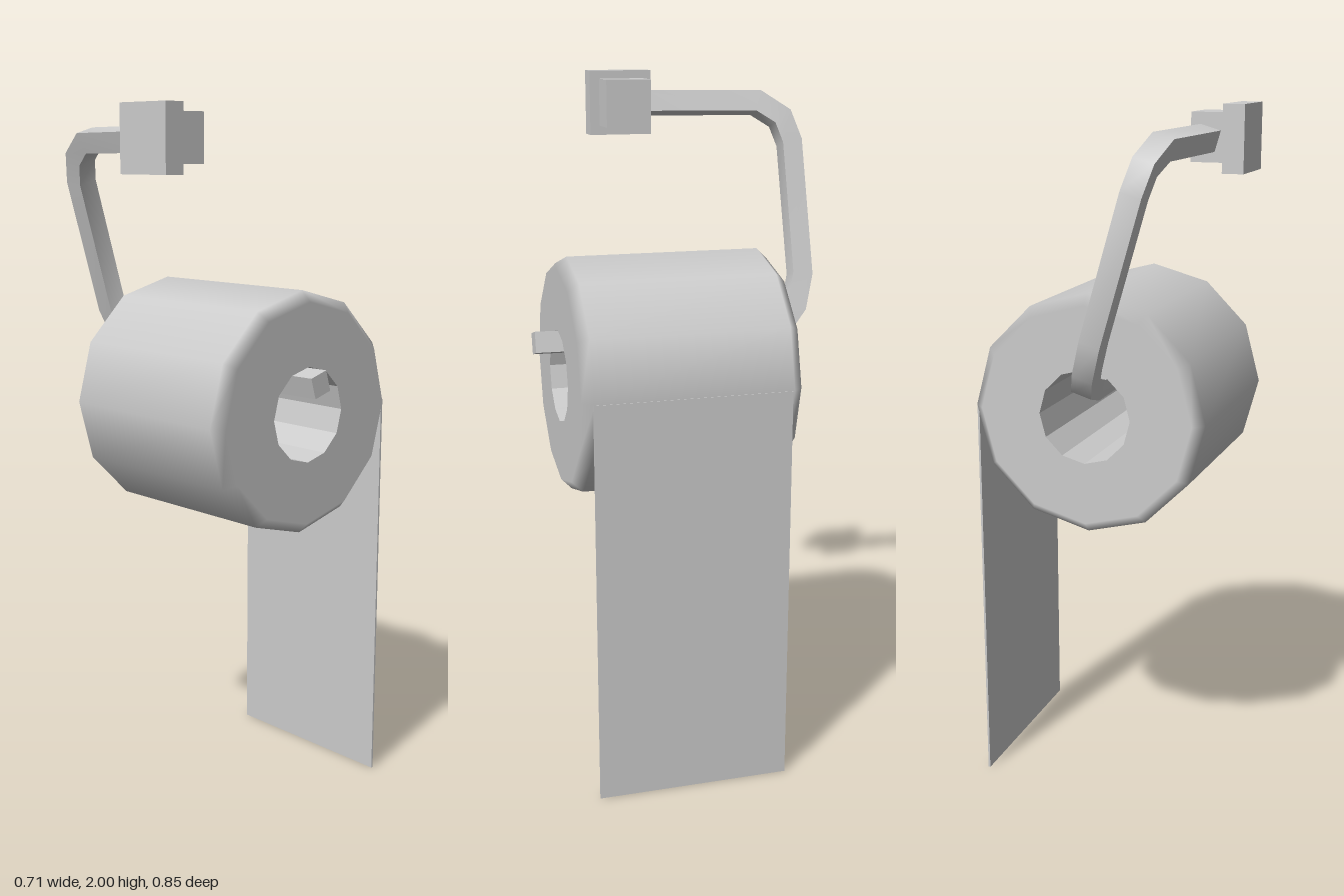
import * as THREE from 'three';
import { toCreasedNormals } from 'three/addons/utils/BufferGeometryUtils.js';

const material = new THREE.MeshStandardMaterial({ color: 0xcccccc });

function addMesh(group, name, geometry) {
  const mesh = new THREE.Mesh(geometry, material);
  mesh.name = name;
  group.add(mesh);
}

// Box given by its lower and upper corners
function boxBetween(a, b) {
  const size = b.map((v, i) => v - a[i]);
  return new THREE.BoxGeometry(...size).translate(...a.map((v, i) => v + size[i] / 2));
}

// Twelve-sided ring surface from [radius, height] pairs
function ring(pairs) {
  return new THREE.LatheGeometry(pairs.map(([r, y]) => new THREE.Vector2(r, y)), 12);
}

// Square bar swept along points with mitred bends; normal is the bend plane's normal
function squareBar(points, normal, half) {
  const positions = [], index = [];
  const last = points.length - 1;
  points.forEach((p, i) => {
    const before = p.clone().sub(points[Math.max(i - 1, 0)]).normalize();
    const after = points[Math.min(i + 1, last)].clone().sub(p).normalize();
    const tangent = before.clone().add(after).normalize();
    const cosHalf = tangent.dot(i < last ? after : before);
    const side = tangent.clone().cross(normal).normalize();
    for (const [a, b] of [[1, 1], [-1, 1], [-1, -1], [1, -1]]) {
      const c = p.clone().addScaledVector(normal, a * half).addScaledVector(side, b * half / cosHalf);
      positions.push(c.x, c.y, c.z);
    }
  });
  for (let i = 0; i < last; i++) {
    for (let k = 0; k < 4; k++) {
      const a = i * 4 + k, b = i * 4 + (k + 1) % 4;
      index.push(a, b, b + 4, a, b + 4, a + 4);
    }
  }
  const e = last * 4;
  index.push(0, 2, 1, 0, 3, 2, e, e + 1, e + 2, e, e + 2, e + 3);
  const geometry = new THREE.BufferGeometry();
  geometry.setAttribute('position', new THREE.Float32BufferAttribute(positions, 3));
  geometry.setIndex(index);
  return toCreasedNormals(geometry, 0.9);
}

export function createModel() {
  const group = new THREE.Group();

  // Paper roll: flat ends and a round wall, shaded softly across the bevelled rims
  const outer = 0.341, hole = 0.134, half = 0.31, bevel = 0.03;
  const shell = ring([
    [hole, -half], [outer - bevel, -half], [outer, bevel - half],
    [outer, half - bevel], [outer - bevel, half], [hole, half],
  ]);
  const { position, normal } = shell.attributes;
  for (let i = 0; i < position.count; i++) {
    const x = position.getX(i), y = position.getY(i), z = position.getZ(i);
    if (Math.abs(y) > half - bevel / 2) normal.setXYZ(i, 0, Math.sign(y), 0);
    else normal.setXYZ(i, x / outer, 0, z / outer);
  }
  const bore = toCreasedNormals(ring([[hole, half], [hole, -half]]), 0.3);
  const roll = new THREE.Group();
  roll.name = 'paperRoll';
  addMesh(roll, 'rollShell', shell);
  addMesh(roll, 'rollBore', bore);
  roll.rotation.x = Math.PI / 2;
  roll.position.set(0.01, 1.166, 0.05);
  group.add(roll);

  // Hanging sheet
  addMesh(group, 'hangingSheet', boxBetween([0.347, 0, -0.225], [0.353, 1.166, 0.333]));

  // Wall plate and the block that holds the arm
  addMesh(group, 'wallPlate', boxBetween([-0.354, 1.815, 0.005], [-0.293, 2, 0.19]));
  addMesh(group, 'mountBlock', boxBetween([-0.293, 1.842, 0.03], [-0.196, 1.977, 0.162]));

  // Bent arm from the block, round the back and through the roll
  const path = [
    [-0.245, 1.908, 0.05], [-0.222, 1.905, -0.30], [-0.202, 1.86, -0.37],
    [-0.182, 1.79, -0.394], [-0.072, 1.41, -0.396], [-0.042, 1.32, -0.368],
    [-0.022, 1.275, -0.325], [-0.012, 1.254, -0.25], [-0.012, 1.261, 0.425],
  ].map((p) => new THREE.Vector3(...p));
  addMesh(group, 'holderArm', squareBar(path, new THREE.Vector3(0.96, 0.28, 0), 0.03));

  return group;
}
